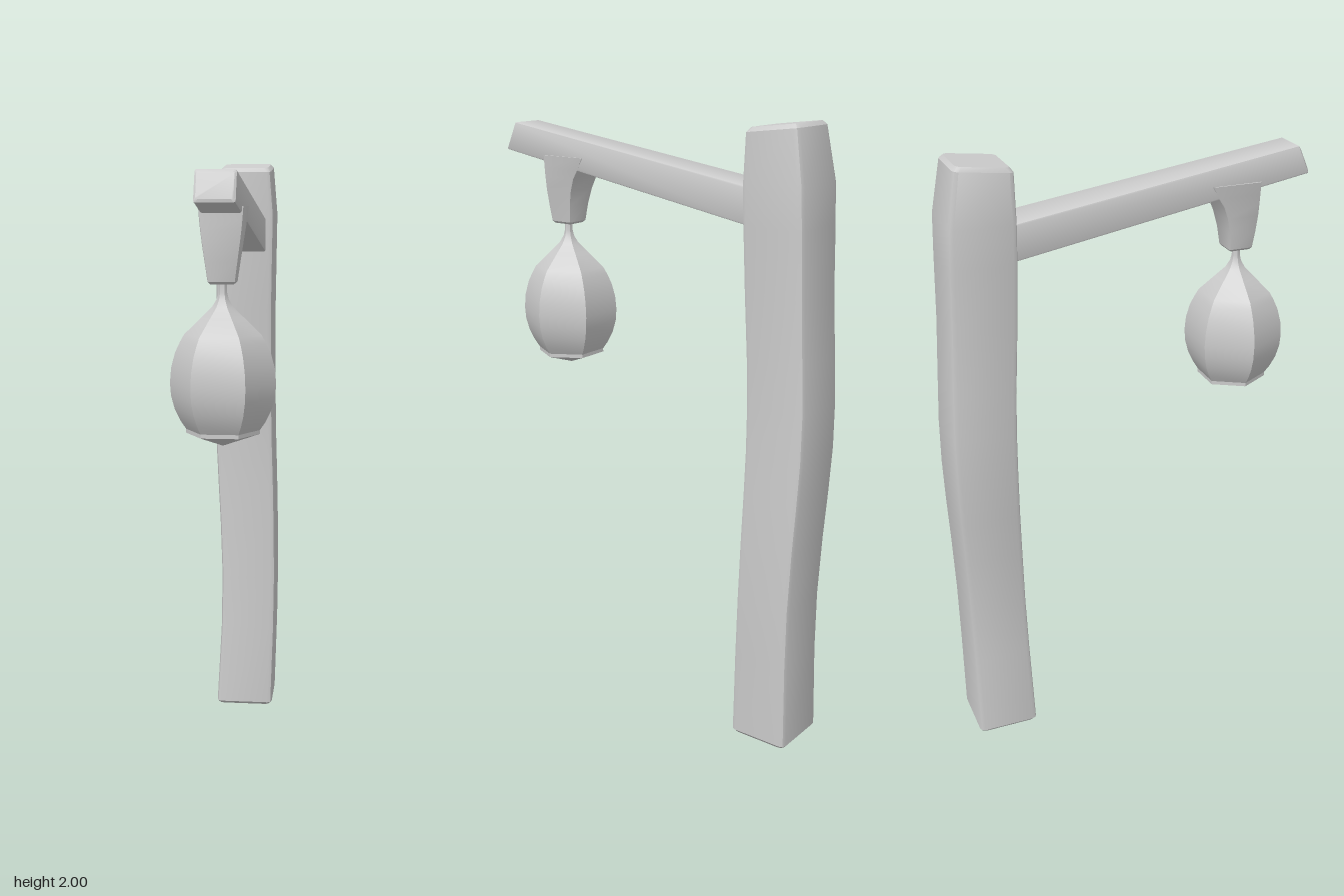
import * as THREE from 'three';
import { toCreasedNormals } from 'three/addons/utils/BufferGeometryUtils.js';

const grey = new THREE.MeshStandardMaterial({ color: 0xcccccc });

function part(name, geometry, crease) {
  const mesh = new THREE.Mesh(toCreasedNormals(geometry, crease), grey);
  mesh.name = name;
  return mesh;
}

// Rectangle with rounded corners, counter-clockwise in its own plane
function ring(u0, u1, v0, v1, r) {
  const corners = [[u1 - r, v1 - r], [u0 + r, v1 - r], [u0 + r, v0 + r], [u1 - r, v0 + r]];
  const points = [];
  corners.forEach(([u, v], k) => {
    for (let s = 0; s < 3; s++) {
      const a = k * Math.PI / 2 + s * Math.PI / 4;
      points.push([u + r * Math.cos(a), v + r * Math.sin(a)]);
    }
  });
  return points;
}

// Skin a row of equal rings of [x, y, z] points and cap both ends
function loft(rings) {
  const n = rings[0].length;
  const position = rings.flat(2);
  const index = [];
  for (let i = 0; i < rings.length - 1; i++) {
    for (let j = 0; j < n; j++) {
      const a = i * n + j, b = i * n + (j + 1) % n;
      index.push(a, b, b + n, a, b + n, a + n);
    }
  }
  const last = (rings.length - 1) * n;
  for (let j = 1; j < n - 1; j++) {
    index.push(0, j + 1, j, last, last + j, last + j + 1);
  }
  const geometry = new THREE.BufferGeometry();
  geometry.setAttribute('position', new THREE.Float32BufferAttribute(position, 3));
  geometry.setIndex(index);
  return geometry;
}

export function createModel() {
  const group = new THREE.Group();

  // Crooked post, top to bottom: y, x min, x max, z back, z front, slope of the section
  const post = [
    [1.981, -0.082, 0.078, -0.535, -0.377, 0.115],
    [1.968, -0.091, 0.088, -0.546, -0.366, 0.115],
    [1.82, -0.105, 0.1, -0.574, -0.367, 0.03],
    [1.7, -0.106, 0.098, -0.579, -0.37, 0],
    [1.5, -0.105, 0.095, -0.585, -0.378, 0],
    [1.3, -0.108, 0.095, -0.595, -0.39, 0],
    [1.15, -0.11, 0.096, -0.602, -0.396, 0],
    [1.0, -0.109, 0.099, -0.602, -0.397, 0],
    [0.85, -0.102, 0.104, -0.596, -0.395, 0],
    [0.7, -0.094, 0.108, -0.588, -0.391, 0],
    [0.5, -0.087, 0.111, -0.58, -0.386, 0],
    [0.3, -0.09, 0.109, -0.577, -0.38, 0],
    [0.01, -0.105, 0.101, -0.576, -0.371, 0],
    [0, -0.097, 0.093, -0.568, -0.379, 0],
  ];
  group.add(part('post', loft(post.map(([y, x0, x1, z0, z1, slope]) =>
    ring(x0, x1, z0, z1, 0.016).map(([x, z]) => [x, y - slope * (z + 0.365), z]))), 0.55));

  // Rising arm with a slanted tip: z of the upper edge, half width, lower y, upper y, slant
  const arm = [
    [-0.45, 0.072, 1.681, 1.798, 0],
    [-0.36, 0.071, 1.697, 1.812, 0],
    [0.563, 0.059, 1.858, 1.949, 0.45],
    [0.571, 0.053, 1.867, 1.943, 0.45],
  ];
  group.add(part('arm', loft(arm.map(([z, w, y0, y1, slant]) =>
    ring(-w, w, y0, y1, 0.006).map(([x, y]) => [x, y, z + slant * (y1 - y)]))), 0.55));

  // Hanging bracket, flared towards the post: y, half width, z back, z front
  const bracket = [
    [1.85, 0.067, 0.27, 0.437],
    [1.81, 0.064, 0.292, 0.437],
    [1.78, 0.061, 0.312, 0.437],
    [1.74, 0.056, 0.328, 0.437],
    [1.69, 0.049, 0.34, 0.434],
    [1.632, 0.041, 0.347, 0.428],
    [1.625, 0.035, 0.353, 0.422],
  ];
  group.add(part('bracket', loft(bracket.map(([y, w, z0, z1]) =>
    ring(-w, w, z0, z1, 0.006).map(([x, z]) => [x, y, z]))), 0.55));

  // Six-sided lantern with a thin neck, bulging body and shallow pointed base
  const lanternProfile = [
    [0, 1.14], [0.112, 1.178], [0.112, 1.19], [0.129, 1.215], [0.146, 1.25],
    [0.157, 1.29], [0.16, 1.33], [0.156, 1.375], [0.144, 1.42], [0.129, 1.452],
    [0.116, 1.475], [0.065, 1.525], [0.032, 1.557], [0.018, 1.58], [0.013, 1.6], [0.013, 1.635],
  ].map(([r, y]) => new THREE.Vector2(r, y));
  const lantern = part('lantern', new THREE.LatheGeometry(lanternProfile, 6, Math.PI / 6), 0.3);
  lantern.position.z = 0.39;
  group.add(lantern);

  return group;
}
